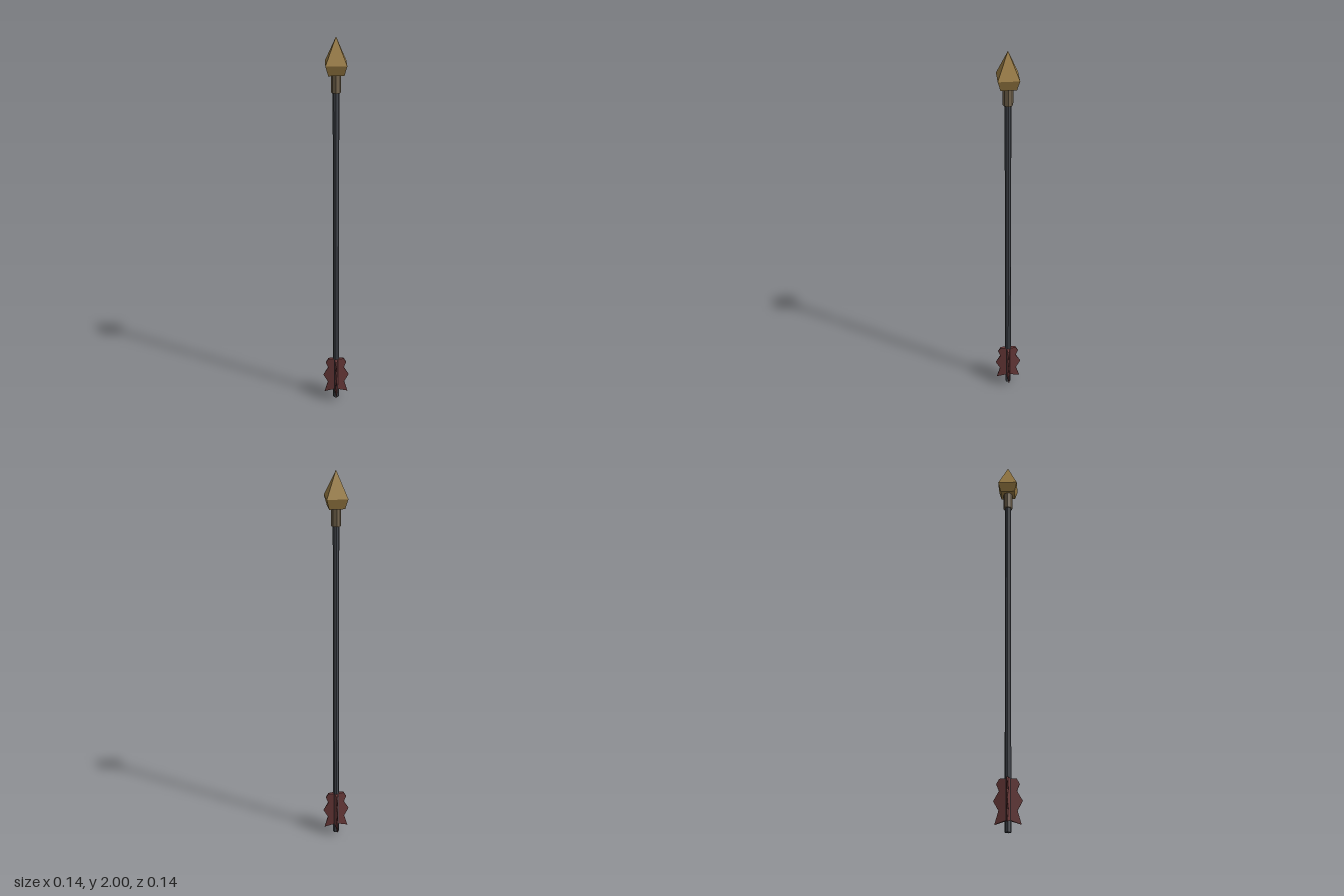
import * as THREE from 'three';

const mat = (name, color) => {
  const m = new THREE.MeshStandardMaterial({ color, flatShading: true });
  m.name = name;
  return m;
};

export function createModel() {
  const arrow = new THREE.Group();
  arrow.name = 'arrow';
  const gold = mat('gold', 0xa08147);
  const bronze = mat('dull bronze', 0x75664f);
  const steel = mat('dark steel', 0x464a51);
  const feather = mat('dark red feather', 0x6a3a3a);

  // Stacked prism between two heights
  const prism = (name, material, rTop, rBottom, y0, y1, sides, turn = 0, open = false) => {
    const geo = new THREE.CylinderGeometry(rTop, rBottom, y1 - y0, sides, 1, open);
    geo.rotateY(turn);
    const mesh = new THREE.Mesh(geo, material);
    mesh.name = name;
    mesh.position.y = (y0 + y1) / 2;
    arrow.add(mesh);
  };

  prism('shaft', steel, 0.0155, 0.0155, 0, 1.78, 8);
  prism('socket', bronze, 0.024, 0.024, 1.738, 1.835, 8);

  // Square head: long pyramid over a short tapering base
  const d = Math.SQRT2;
  prism('headPoint', gold, 0, 0.05 * d, 1.875, 2, 4, Math.PI / 4, true);
  prism('headBase', gold, 0.05 * d, 0.037 * d, 1.826, 1.875, 4, Math.PI / 4);

  // Notched vane outline, thinning towards its outer edge
  const outline = [
    [0, 0.25], [0.041, 0.25], [0.055, 0.225], [0.042, 0.192], [0.069, 0.145],
    [0.044, 0.1], [0.063, 0.035], [0.015, 0.052], [0, 0.052],
  ].map(([x, y]) => new THREE.Vector2(x, y));
  const vaneGeo = new THREE.ExtrudeGeometry(new THREE.Shape(outline), { depth: 1, bevelEnabled: false });
  const p = vaneGeo.attributes.position;
  for (let i = 0; i < p.count; i++) {
    const half = 0.011 * (1 - p.getX(i) / 0.07);
    p.setZ(i, (p.getZ(i) - 0.5) * 2 * half);
  }
  vaneGeo.computeVertexNormals();

  // Four vanes around the shaft
  const fletching = new THREE.Group();
  fletching.name = 'fletching';
  for (let i = 0; i < 4; i++) {
    const vane = new THREE.Mesh(vaneGeo, feather);
    vane.name = 'vane';
    vane.rotation.y = i * Math.PI / 2;
    fletching.add(vane);
  }
  arrow.add(fletching);
  return arrow;
}
